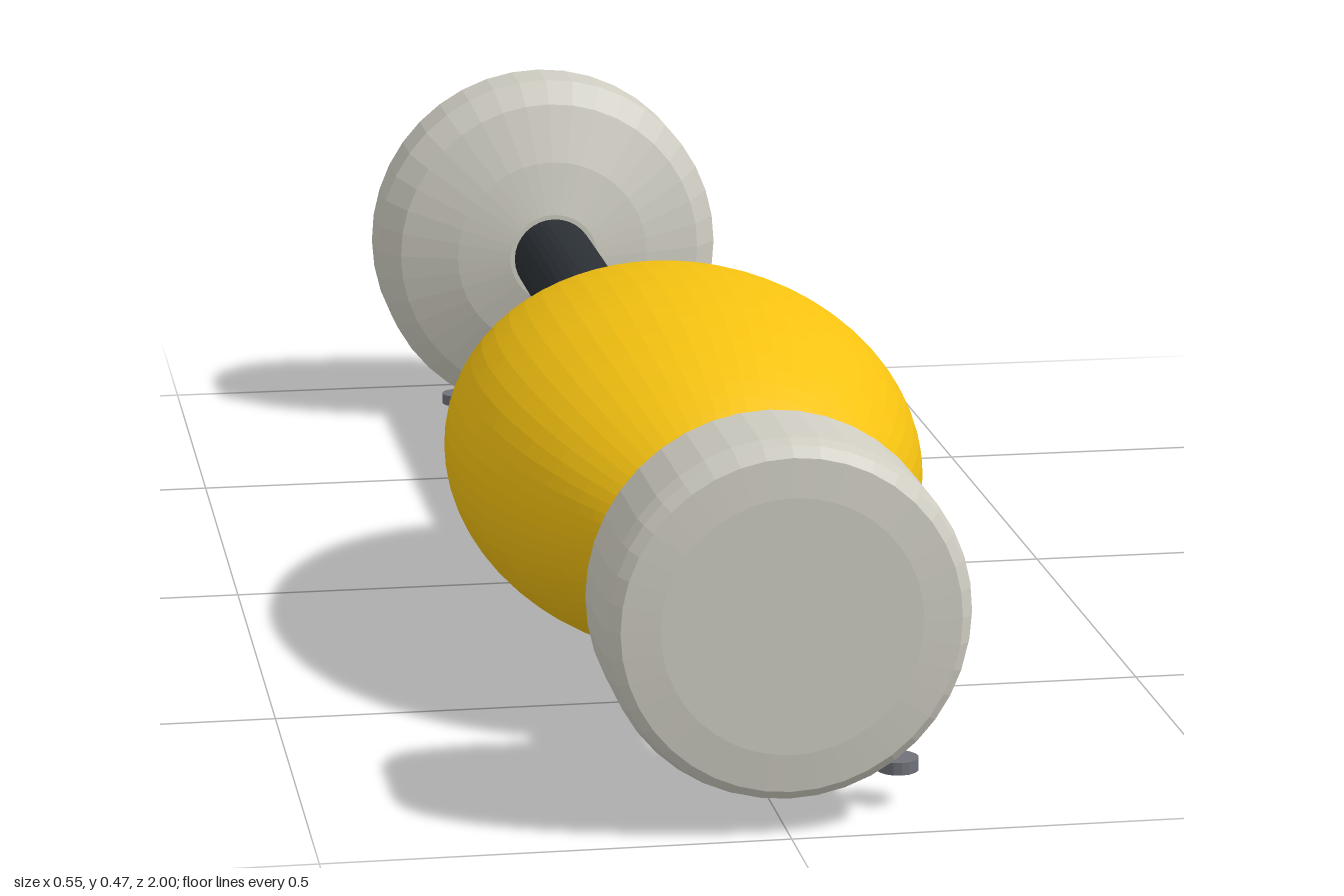
import * as THREE from 'three';

const AXIS_Y = 0.235;

export function createModel() {
  const model = new THREE.Group();
  const material = (color) => new THREE.MeshStandardMaterial({ color, flatShading: true });
  const shell = material(0xcfcdc2);
  const yellow = material(0xf5c211);
  const dark = material(0x2b3035);
  const footGrey = material(0x70727a);

  function add(name, geometry, mat, x, y, z) {
    const mesh = new THREE.Mesh(geometry, mat);
    mesh.name = name;
    mesh.position.set(x, y, z);
    model.add(mesh);
  }

  // Turned part around the z axis; profile is [radius, z], back to front
  function turned(profile) {
    const points = profile.map(([r, z]) => new THREE.Vector2(r, z));
    return new THREE.LatheGeometry(points, 40).rotateX(Math.PI / 2);
  }

  // Central rod
  add('rod', new THREE.CylinderGeometry(0.054, 0.054, 1.64, 32).rotateX(Math.PI / 2),
    dark, 0, AXIS_Y, 0);

  // Egg-shaped body, poles along the rod
  const egg = new THREE.SphereGeometry(1, 64, 40).rotateX(Math.PI / 2).scale(0.274, 0.21, 0.442);
  add('body', egg, yellow, 0, AXIS_Y, 0.287);

  // Front end cap
  add('frontCap', turned([
    [0, 0.775], [0.06, 0.776], [0.165, 0.82], [0.19, 0.835], [0.198, 0.855],
    [0.198, 0.968], [0.193, 0.985], [0.182, 0.996], [0.14, 1], [0, 1],
  ]), shell, 0, AXIS_Y, 0);

  // Larger, domed back end cap
  add('backCap', turned([
    [0, -1], [0.05, -1], [0.12, -0.995], [0.2, -0.97], [0.222, -0.94], [0.233, -0.91],
    [0.233, -0.832], [0.205, -0.802], [0.13, -0.775], [0.06, -0.76], [0, -0.76],
  ]), shell, 0, AXIS_Y, 0);

  // Small round feet: one in front, a pair at the back
  const foot = new THREE.CylinderGeometry(0.023, 0.023, 0.014, 16);
  add('frontFoot', foot, footGrey, 0.134, 0.047, 0.9);
  add('backFootLeft', foot, footGrey, 0.117, 0.012, -0.885);
  add('backFootRight', foot, footGrey, -0.117, 0.012, -0.885);

  return model;
}
